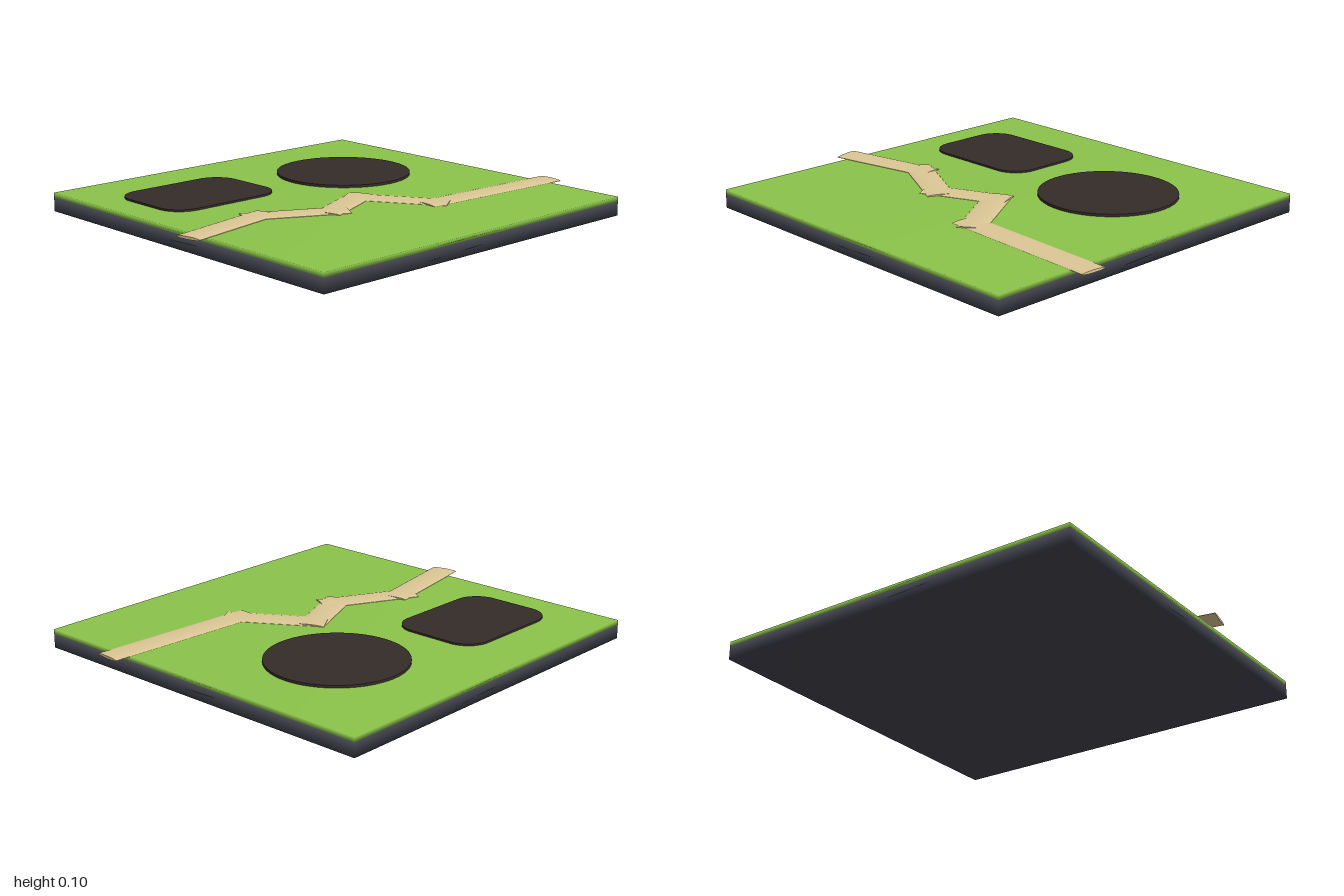
import * as THREE from 'three';
import { mergeVertices } from 'three/addons/utils/BufferGeometryUtils.js';

const material = (color) => new THREE.MeshStandardMaterial({ color });

// Box whose corners share one averaged normal, for soft shading
function softBox(w, h, d) {
  const box = new THREE.BoxGeometry(w, h, d);
  box.deleteAttribute('normal');
  box.deleteAttribute('uv');
  const geometry = mergeVertices(box);
  geometry.computeVertexNormals();
  return geometry;
}

export function createModel() {
  const model = new THREE.Group();
  model.name = 'groundTile';

  const add = (name, geometry, mat, x, y, z) => {
    const mesh = new THREE.Mesh(geometry, mat);
    mesh.name = name;
    mesh.position.set(x, y, z);
    model.add(mesh);
    return mesh;
  };

  // Square slab with a grass layer on top
  const size = 1.845;
  add('base', softBox(size, 0.067, size), material(0x42434e), 0, 0.0335, 0);
  add('grass', softBox(size, 0.022, size), material(0x8bc34a), 0, 0.078, 0);

  // Round plot
  const soil = material(0x352c29);
  add('roundPlot', new THREE.CylinderGeometry(0.325, 0.325, 0.014, 64), soil, 0.35, 0.094, -0.31);

  // Rounded rectangular plot
  const w = 0.31, h = 0.233, r = 0.12;
  const shape = new THREE.Shape();
  shape.absarc(w - r, h - r, r, 0, Math.PI / 2);
  shape.absarc(-w + r, h - r, r, Math.PI / 2, Math.PI);
  shape.absarc(-w + r, -h + r, r, Math.PI, Math.PI * 1.5);
  shape.absarc(w - r, -h + r, r, Math.PI * 1.5, Math.PI * 2);
  const plotGeometry = new THREE.ExtrudeGeometry(shape, { depth: 0.012, bevelEnabled: false, curveSegments: 8 });
  plotGeometry.rotateX(-Math.PI / 2);
  add('rectangularPlot', plotGeometry, soil, -0.458, 0.086, -0.428);

  // Winding path of flattened cylinders: start x, z and end x, z
  const sand = material(0xdcc795);
  const pieces = [
    [-0.987, 0.163, -0.465, 0.06],
    [-0.59, 0.04, -0.163, 0.26],
    [-0.283, 0.25, 0.1, 0.085],
    [0.013, 0.06, 0.27, 0.473],
    [0.166, 0.417, 0.995, 0.463],
  ];
  pieces.forEach(([x0, z0, x1, z1], i) => {
    const dx = x1 - x0, dz = z1 - z0;
    const geometry = new THREE.CylinderGeometry(0.066, 0.066, Math.hypot(dx, dz), 24);
    geometry.rotateZ(-Math.PI / 2);
    geometry.scale(1, 0.0065 / 0.066, 1);
    const piece = add('pathPiece' + (i + 1), geometry, sand, (x0 + x1) / 2, 0.0905 - i * 0.0006, (z0 + z1) / 2);
    piece.rotation.y = -Math.atan2(dz, dx);
  });

  return model;
}
